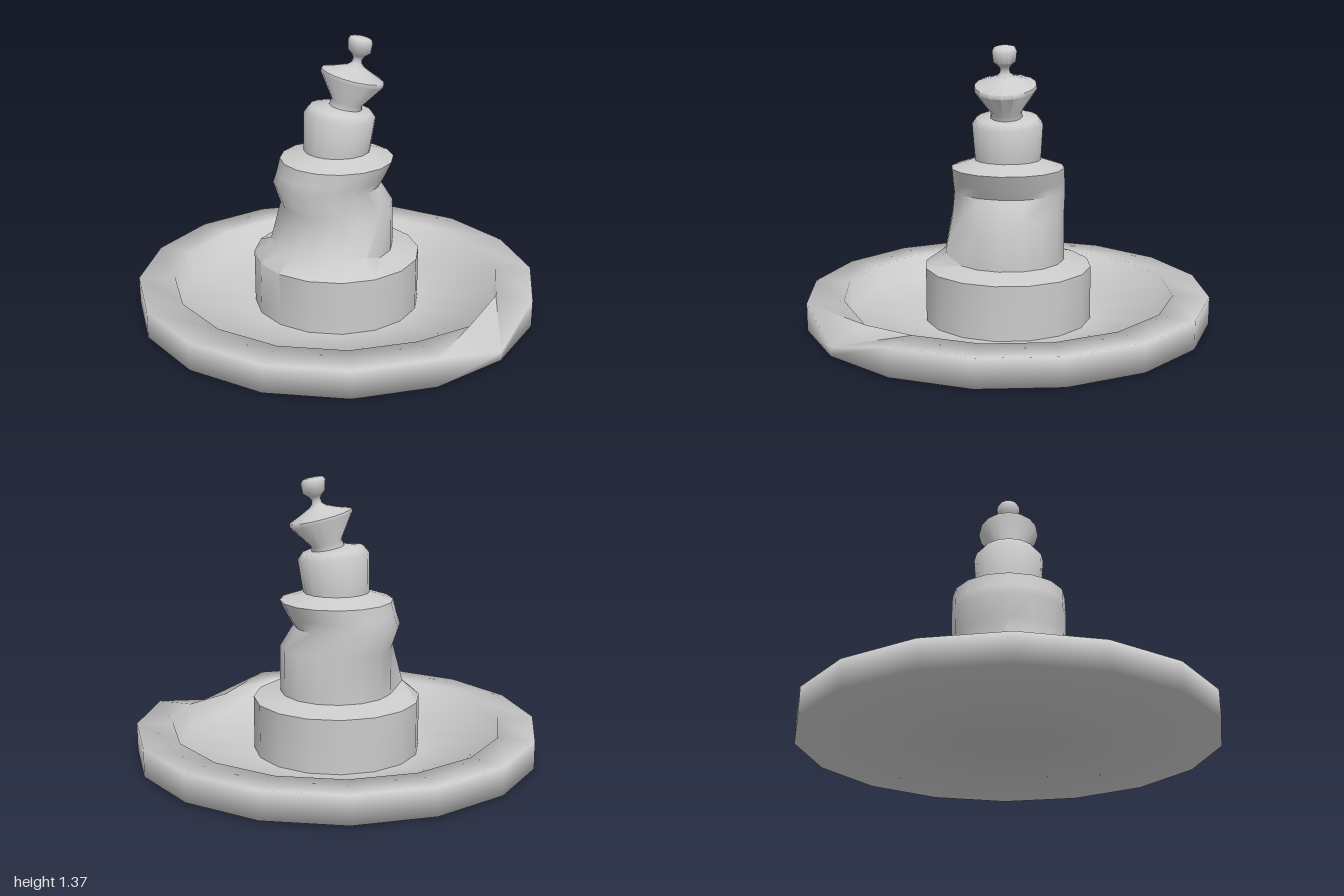
import * as THREE from 'three';
import { toCreasedNormals } from 'three/addons/utils/BufferGeometryUtils.js';

const SIDES = 16;

// Skin a stack of rings, each [y, radius, centreX, slope]; the slope tips a ring along x.
// warp(point, ringIndex, side) can push single points out of shape.
function loft(name, rings, crease, warp) {
  const pos = [], index = [];
  rings.forEach(([y, r, cx = 0, slope = 0], i) => {
    for (let s = 0; s < SIDES; s++) {
      const a = (s / SIDES) * Math.PI * 2;
      const p = new THREE.Vector3(cx + r * Math.cos(a), y + slope * r * Math.cos(a), r * Math.sin(a));
      if (warp) warp(p, i, s);
      pos.push(p.x, p.y, p.z);
      if (i === 0) continue;
      const t = (s + 1) % SIDES;
      const a0 = (i - 1) * SIDES + s, b0 = (i - 1) * SIDES + t;
      const a1 = i * SIDES + s, b1 = i * SIDES + t;
      index.push(a0, a1, b0, b0, a1, b1);
    }
  });
  const geo = new THREE.BufferGeometry();
  geo.setAttribute('position', new THREE.Float32BufferAttribute(pos, 3));
  geo.setIndex(index);
  const mesh = new THREE.Mesh(
    toCreasedNormals(geo, crease),
    new THREE.MeshStandardMaterial({ color: 0xcccccc })
  );
  mesh.name = name;
  return mesh;
}

export function createModel() {
  const group = new THREE.Group();
  group.name = 'crookedTieredFountain';

  // Wide basin: underside, outer wall, flat rim, inner wall and floor, with one chipped corner
  group.add(loft('basin', [
    [0, 0.001], [0.008, 1], [0.145, 1], [0.145, 0.82], [0.03, 0.81], [0.01, 0.4],
  ], 1.7, (p, i, s) => {
    if (s === 2 && i === 2) p.y = 0.05;
    if (s === 2 && i === 3) p.y = 0.12;
  }));

  // Lower tiers: broad drum, then a dented drum that leans to one side
  group.add(loft('lowerTiers', [
    [0.005, 0.415], [0.278, 0.415], [0.31, 0.282], [0.54, 0.28],
    [0.645, 0.265, -0.05], [0.7, 0.272, -0.025], [0.77, 0.28], [0.81, 0.16],
  ], 0.9, (p, i, s) => {
    // slumped skirt on the front and right sides
    if (i === 2 && s >= 3 && s <= 8) {
      p.x *= 1.17;
      p.z *= 1.12;
      p.y += 0.04;
    }
    // only the sides are dented, the front and back stay straight
    if (i === 4 || i === 5) p.z *= 0.28 / (i === 4 ? 0.265 : 0.272);
  }));

  // Upper tier with a tipped, bevelled top
  group.add(loft('upperTier', [
    [0.8, 0.163], [0.985, 0.175, 0.015, -0.1], [1.018, 0.15, 0.02, -0.13],
    [1.025, 0.075, 0.04, -0.2],
  ], 0.9));

  // Flared cup with a domed lid
  group.add(loft('cup', [
    [1.015, 0.08, 0.04, -0.25], [1.05, 0.075, 0.05, -0.25], [1.165, 0.153, 0.075, -0.26],
    [1.182, 0.15, 0.077, -0.25], [1.205, 0.09, 0.083, -0.22], [1.225, 0.045, 0.09, -0.2],
  ], 0.9));

  // Finial: thin neck and round knob
  group.add(loft('finial', [
    [1.215, 0.055, 0.088, -0.2], [1.24, 0.026, 0.096, -0.2], [1.262, 0.022, 0.1, -0.2],
    [1.278, 0.032, 0.104, -0.2], [1.297, 0.055, 0.108, -0.2], [1.345, 0.06, 0.113, -0.2],
    [1.361, 0.052, 0.115, -0.2], [1.366, 0.035, 0.116, -0.2], [1.368, 0.001, 0.116, -0.2],
  ], 0.9));

  return group;
}
